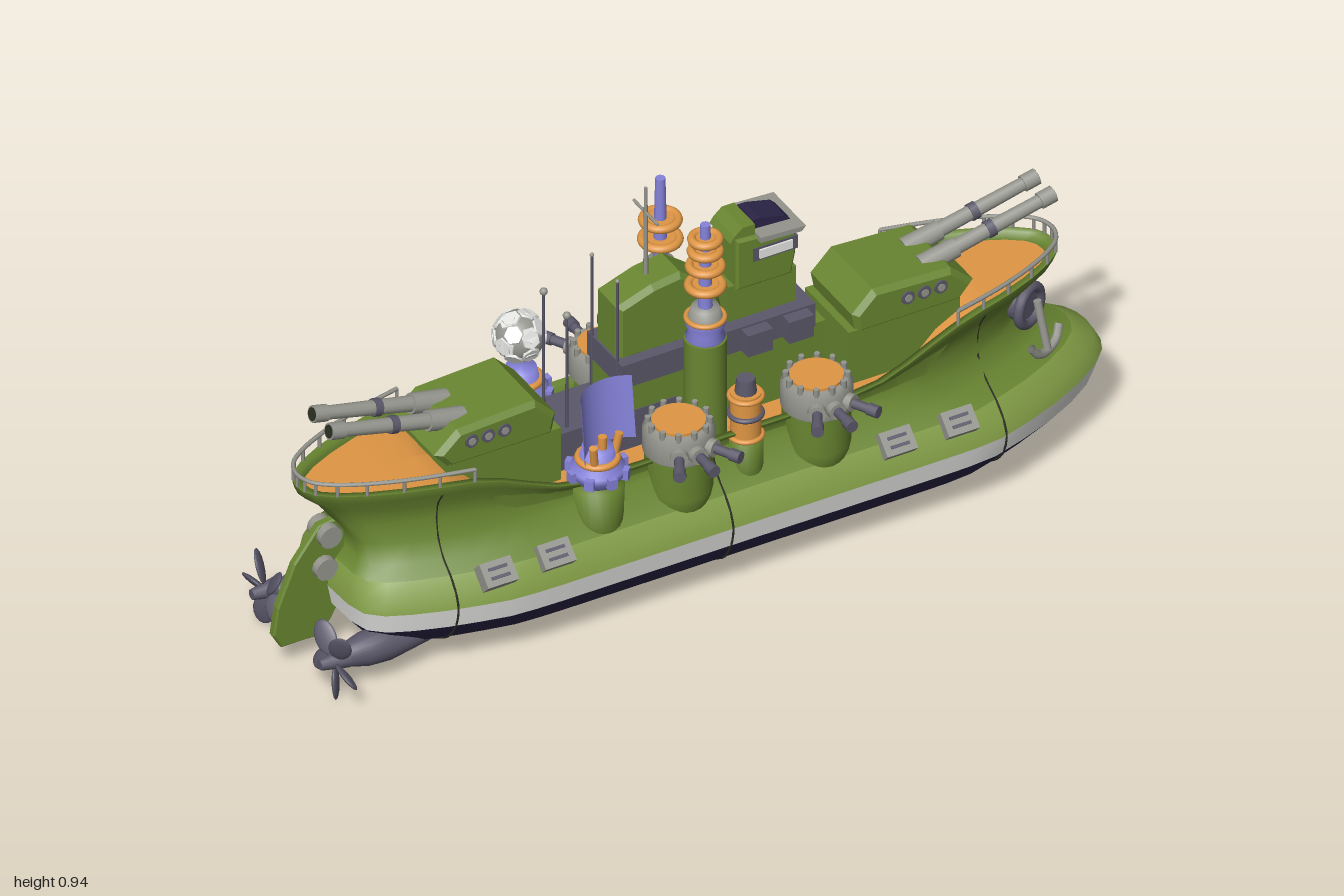
import * as THREE from 'three';

const mat = (name, color) => {
  const m = new THREE.MeshStandardMaterial({ color, side: THREE.DoubleSide });
  m.name = name;
  return m;
};
const green = mat('green paint', 0x698631), lime = mat('light green paint', 0x819c45);
const navy = mat('navy keel', 0x2c2549), white = mat('off white', 0xfafaf8);
const orange = mat('orange deck', 0xdf9644), purple = mat('violet', 0x8683da);
const steel = mat('light steel', 0x96968f), dark = mat('dark steel', 0x5b586a), black = mat('seam black', 0x2a2f22);

const V = (x, y, z) => new THREE.Vector3(x, y, z);
function add(parent, name, geo, m, x = 0, y = 0, z = 0) {
  const mesh = new THREE.Mesh(geo, m);
  mesh.name = name;
  mesh.position.set(x, y, z);
  parent.add(mesh);
  return mesh;
}
function group(parent, name, x = 0, y = 0, z = 0) {
  const g = new THREE.Group();
  g.name = name;
  g.position.set(x, y, z);
  parent.add(g);
  return g;
}
const box = (p, name, m, x0, x1, y0, y1, hz) =>
  add(p, name, new THREE.BoxGeometry(x1 - x0, y1 - y0, hz * 2), m, (x0 + x1) / 2, (y0 + y1) / 2, 0);
function rod(p, name, m, a, b, r0, r1 = r0, sides = 12) {
  const d = b.clone().sub(a);
  const mesh = add(p, name, new THREE.CylinderGeometry(r1, r0, d.length(), sides), m);
  mesh.position.copy(a).addScaledVector(d, 0.5);
  mesh.quaternion.setFromUnitVectors(V(0, 1, 0), d.normalize());
  return mesh;
}
const lathe = (p, name, m, pts, x, y, z, sides = 24) =>
  add(p, name, new THREE.LatheGeometry(pts.map(q => new THREE.Vector2(...q)), sides), m, x, y, z);
function ring(p, name, m, r, t, x, y, z) {
  const mesh = add(p, name, new THREE.TorusGeometry(r, t, 10, 28), m, x, y, z);
  mesh.rotation.x = Math.PI / 2;
  return mesh;
}
function extrude(p, name, m, pts, depth, bevel = 0) {
  const s = new THREE.Shape(pts.map(q => new THREE.Vector2(...q)));
  const g = new THREE.ExtrudeGeometry(s, { depth: depth - 2 * bevel, bevelEnabled: bevel > 0, bevelSize: bevel, bevelThickness: bevel, bevelOffset: -bevel, bevelSegments: 1 });
  return add(p, name, g.translate(0, 0, bevel - depth / 2), m);
}

// Plan outline: fraction of length -> fraction of half width, pointed and blunt
const plan = [[0, 1, 1], [0.25, 1, 1], [0.36, 1, 1], [0.43, 1, 1], [0.5, 1, 1], [0.57, 0.995, 0.995], [0.64, 0.97, 0.98], [0.72, 0.87, 0.92],
  [0.8, 0.75, 0.85], [0.88, 0.59, 0.76], [0.94, 0.43, 0.67], [0.98, 0.27, 0.55], [0.995, 0.14, 0.36], [1, 0, 0]];
// The stern is blunt low down and pointed at deck height
function widthAt(t, y) {
  const u = Math.min(Math.abs(t), 1), blunt = t < 0 ? 1 - THREE.MathUtils.smoothstep(y, 0.24, 0.44) : 0;
  const i = Math.max(1, plan.findIndex(q => q[0] >= u)), a = plan[i - 1], b = plan[i];
  const f = k => a[k] + (b[k] - a[k]) * (u - a[0]) / (b[0] - a[0]);
  return THREE.MathUtils.lerp(f(1), f(2), blunt);
}
// Upper hull dips amidships, the deck inside it with steeper steps
const sheer = (y, x) => y <= 0.32 ? y : 0.32 + (y - 0.32) * (0.36 + 0.64 * THREE.MathUtils.smoothstep(Math.abs(x), 0.33, 0.62));
const deckSheer = (y, x) => 0.335 + (y - 0.335) * THREE.MathUtils.smoothstep(Math.abs(x), 0.47, 0.62);
// Hull levels: height, half width, stern x, bow x
const levels = [[0.015, 0, -0.68, 0.65], [0.015, 0.07, -0.68, 0.65], [0.04, 0.135, -0.76, 0.78], [0.09, 0.212, -0.82, 0.91], [0.14, 0.244, -0.86, 0.98],
  [0.19, 0.254, -0.87, 1], [0.225, 0.242, -0.865, 0.98], [0.255, 0.218, -0.85, 0.93], [0.28, 0.19, -0.83, 0.85], [0.32, 0.168, -0.83, 0.79],
  [0.37, 0.157, -0.865, 0.81], [0.41, 0.16, -0.895, 0.845], [0.445, 0.176, -0.935, 0.89], [0.465, 0.178, -0.94, 0.9], [0.465, 0.162, -0.92, 0.88]];
const ts = [...plan.map(q => q[0]).reverse(), ...plan.slice(1).map(q => -q[0])];
function ringPoints([y, w, xs, xb], rise = sheer) {
  const at = (t, s) => { const x = t > 0 ? t * xb : -t * xs; return V(x, rise(y, x), s * w * widthAt(t, y)); };
  return [...ts.map(t => at(t, 1)), ...ts.slice(1, -1).reverse().map(t => at(t, -1))];
}
function loft(rows) {
  const n = rows[0].length, idx = [];
  for (let i = 0; i < rows.length - 1; i++) for (let j = 0; j < n; j++) {
    const a = i * n + j, b = i * n + (j + 1) % n;
    idx.push(a, a + n, b, b, a + n, b + n);
  }
  const g = new THREE.BufferGeometry().setFromPoints(rows.flat());
  g.setIndex(idx);
  g.computeVertexNormals();
  return g;
}
const hullPart = (p, name, m, list) => add(p, name, loft(list.map(l => ringPoints(l))), m);

function buildHull(root) {
  const hull = group(root, 'hull');
  hullPart(hull, 'keelBottom', navy, levels.slice(0, 2));
  hullPart(hull, 'keel', navy, levels.slice(1, 5));
  hullPart(hull, 'waterlineStripe', white, levels.slice(4, 6));
  hullPart(hull, 'hullBulge', lime, levels.slice(5, 8));
  hullPart(hull, 'upperHull', green, levels.slice(7, 14));
  const deckEdge = ringPoints([0.445, 0.158, -0.915, 0.875], deckSheer);
  add(hull, 'gunwale', loft([ringPoints(levels[13]), ringPoints(levels[14]), deckEdge]), green);
  add(hull, 'deck', loft([deckEdge, ringPoints([0.445, 0, -0.915, 0.875], deckSheer)]), orange);
  // Plate seams wrapping the hull
  for (const x of [-0.67, -0.02, 0.65]) for (const s of [-1, 1]) {
    const pts = levels.slice(2, 13).map(([y, w, xs, xb]) => V(x, sheer(y, x), s * w * widthAt(x / (x > 0 ? xb : -xs), y)));
    add(hull, 'plateSeam', new THREE.TubeGeometry(new THREE.CatmullRomCurve3(pts), 30, 0.0025, 5), black);
  }
  // Deck rails round both ends
  for (const e of [1, -1]) {
    const end = ringPoints([0.465, 0.174, -0.937, 0.897]).filter(p => p.x * e > 0.56);
    end.sort((a, b) => a.z - b.z);
    const top = end.map(p => V(p.x, 0.495, p.z));
    add(hull, 'railTop', new THREE.TubeGeometry(new THREE.CatmullRomCurve3(top), 60, 0.005, 6), steel);
    end.forEach((p, i) => rod(hull, 'railPost', steel, p, top[i], 0.004, 0.004, 6));
  }
  for (const s of [-1, 1]) {
    // Side lockers on the bulge
    for (const x of [-0.58, -0.44, 0.39, 0.54]) {
      const g = group(hull, 'sideLocker', x, 0.252, s * 0.226);
      g.rotation.x = s * 0.75;
      add(g, 'lockerBody', new THREE.BoxGeometry(0.075, 0.035, 0.055), steel);
      for (const k of [-1, 1]) add(g, 'lockerSlot', new THREE.BoxGeometry(0.045, 0.004, 0.007), dark, 0, 0.018, k * 0.01);
    }
    // Anchors
    const a = group(hull, 'anchor', 0.79, 0.385, s * 0.092);
    a.rotation.y = s > 0 ? 0.5 : Math.PI - 0.5;
    add(a, 'hawseRing', new THREE.TorusGeometry(0.043, 0.012, 10, 24), dark);
    const disc = add(a, 'hawsePlate', new THREE.CylinderGeometry(0.04, 0.04, 0.03, 20), dark, 0, 0, -0.015);
    disc.rotation.x = Math.PI / 2;
    rod(a, 'anchorShank', steel, V(0, 0.02, 0.02), V(0, -0.095, 0.045), 0.009);
    const arc = new THREE.CatmullRomCurve3([V(-0.055, -0.065, 0.04), V(-0.035, -0.09, 0.045), V(0, -0.1, 0.045), V(0.035, -0.09, 0.045), V(0.055, -0.065, 0.04)]);
    add(a, 'anchorFlukes', new THREE.TubeGeometry(arc, 16, 0.01, 8), steel);
    // Propellers
    lathe(hull, 'shaftPod', dark, [[0, 0], [0.025, 0.1], [0.04, 0.2], [0.038, 0.25], [0.022, 0.31], [0, 0.31]], -0.6, 0.095, s * 0.135).rotation.z = Math.PI / 2;
    const prop = group(hull, 'propeller', -0.93, 0.1, s * 0.147);
    rod(prop, 'propellerHub', dark, V(0.03, 0, 0), V(-0.035, 0, 0), 0.024, 0.012);
    for (let i = 0; i < 5; i++) {
      const arm = group(prop, 'propellerArm');
      arm.rotation.x = Math.PI - s * 0.12 + i * Math.PI * 0.4;
      const blade = add(arm, 'propellerBlade', new THREE.SphereGeometry(1, 12, 8), dark, 0, 0.053, 0);
      blade.scale.set(0.007, 0.04, 0.026);
      blade.rotation.y = s * 0.7;
    }
  }
  // Rudder with hinge knobs
  extrude(hull, 'rudder', green, [[-0.82, 0.36], [-0.89, 0.35], [-0.95, 0.27], [-0.99, 0.17], [-1, 0.1], [-0.98, 0.065], [-0.88, 0.065], [-0.83, 0.15]], 0.022, 0.004);
  for (const [x, y] of [[-0.87, 0.325], [-0.88, 0.245]]) rod(hull, 'rudderHinge', steel, V(x, y, -0.03), V(x, y, 0.03), 0.027);
}

function buildMainTurret(root, e) {
  const t = group(root, e > 0 ? 'bowTurret' : 'sternTurret', e * 0.51, 0, 0);
  if (e < 0) t.rotation.y = Math.PI;
  extrude(t, 'turretBase', green, [[-0.16, 0.33], [0.11, 0.33], [0.11, 0.47], [-0.16, 0.47]], 0.19);
  extrude(t, 'turretHousing', green, [[-0.14, 0.46], [0.11, 0.46], [0.145, 0.5], [0.09, 0.55], [-0.1, 0.56], [-0.15, 0.51]], 0.2, 0.012);
  for (const s of [-1, 1]) {
    const at = k => V(0.03 + 0.34 * k, 0.53 + 0.08 * k, s * 0.036);
    rod(t, 'gunMantlet', steel, at(0.05), at(0.3), 0.025, 0.023);
    rod(t, 'gunBarrel', steel, at(0), at(0.93), 0.019, 0.015);
    rod(t, 'gunBand', dark, at(0.52), at(0.57), 0.02);
    rod(t, 'gunMuzzle', steel, at(0.9), at(1), 0.019);
    rod(t, 'gunBore', black, at(1), at(1.004), 0.015);
    for (const x of [-0.02, 0.02, 0.06]) {
      rod(t, 'portholeRim', dark, V(x, 0.517, s * 0.09), V(x, 0.517, s * 0.104), 0.016);
      rod(t, 'portholeGlass', steel, V(x, 0.517, s * 0.1), V(x, 0.517, s * 0.106), 0.009);
    }
  }
}

function buildSideTurret(root, x, s) {
  const t = group(root, 'sideTurret', x, 0, s * 0.16);
  if (s < 0) t.rotation.y = Math.PI;
  lathe(t, 'barbette', green, [[0.05, 0.2], [0.068, 0.25], [0.074, 0.28], [0.074, 0.37]], 0, 0, 0);
  lathe(t, 'turretRing', steel, [[0.07, 0.365], [0.078, 0.375], [0.078, 0.425], [0.066, 0.44], [0, 0.44]], 0, 0, 0);
  rod(t, 'turretTop', orange, V(0, 0.438, 0), V(0, 0.446, 0), 0.058, 0.058, 24);
  for (let i = 0; i < 12; i++) {
    const a = i * Math.PI / 6;
    rod(t, 'rimTooth', steel, V(Math.sin(a) * 0.066, 0.43, Math.cos(a) * 0.066), V(Math.sin(a) * 0.066, 0.452, Math.cos(a) * 0.066), 0.007, 0.007, 6);
  }
  for (const a of [-0.5, 0, 0.5]) {
    const at = r => V(Math.sin(a) * r, 0.403, Math.cos(a) * r);
    rod(t, 'gunSocket', steel, at(0.065), at(0.092), 0.02);
    rod(t, 'gunBarrel', dark, at(0.09), at(0.15), 0.011);
    rod(t, 'gunMuzzle', dark, at(0.13), at(0.155), 0.014);
  }
}

function buildSensorBase(root, s) {
  const g = group(root, s > 0 ? 'radarPanelMount' : 'radarDomeMount', -0.3, 0, s * 0.165);
  lathe(g, 'mountBase', green, [[0.04, 0.21], [0.055, 0.26], [0.058, 0.36], [0, 0.36]], 0, 0, 0);
  lathe(g, 'mountCollar', purple, [[0.04, 0.36], [0.06, 0.385], [0.06, 0.4], [0.04, 0.42], [0.034, 0.45], [0, 0.45]], 0, 0, 0);
  ring(g, 'mountRing', orange, 0.042, 0.008, 0, 0.42, 0);
  for (let i = 0; i < 8; i++) {
    const a = i * Math.PI / 4;
    add(g, 'mountLug', new THREE.BoxGeometry(0.02, 0.025, 0.02), purple, Math.sin(a) * 0.06, 0.39, Math.cos(a) * 0.06).rotation.y = a;
  }
  if (s > 0) {
    // Curved panel, turned a little toward the bow
    const head = group(g, 'radarHead');
    head.rotation.y = 0.3;
    const panel = add(head, 'radarPanel', new THREE.CylinderGeometry(0.092, 0.092, 0.155, 24, 1, true, Math.PI - 1, 2), purple, 0, 0.532, 0.082);
    panel.rotation.x = -0.08;
    for (const k of [-1, 1]) rod(head, 'panelArm', orange, V(k * 0.03, 0.42, 0.02), V(k * 0.04, 0.475, 0.025), 0.009);
    rod(head, 'panelPost', orange, V(0, 0.43, 0.014), V(0, 0.48, 0.014), 0.01);
  } else {
    add(g, 'radarDome', new THREE.SphereGeometry(0.056, 24, 16), steel, 0, 0.525, -0.008);
    // Pale panels over the dome
    for (const [geo, r, n] of [[new THREE.IcosahedronGeometry(1), 0.02, 5], [new THREE.DodecahedronGeometry(1), 0.022, 6]]) {
      const seen = new Set(), p = geo.attributes.position;
      for (let i = 0; i < p.count; i++) {
        const d = V(0, 0, 0).fromBufferAttribute(p, i), key = d.toArray().map(v => Math.round(v * 50)).join();
        if (seen.has(key)) continue;
        seen.add(key);
        const c = V(0, 0.525, -0.008);
        rod(g, 'domePanel', white, c.clone().addScaledVector(d, 0.05), c.clone().addScaledVector(d, 0.0565), r, r * 0.93, n);
      }
    }
  }
}

function buildCoil(root, s) {
  const g = group(root, 'energyCoil', 0, 0, s * 0.097);
  rod(g, 'coilPedestal', green, V(0, 0.33, 0), V(0, 0.585, 0), 0.046, 0.046, 24);
  lathe(g, 'coilCollar', purple, [[0.034, 0.575], [0.044, 0.59], [0.036, 0.605], [0.044, 0.625], [0.04, 0.64]], 0, 0, 0);
  ring(g, 'collarRing', orange, 0.041, 0.006, 0, 0.638, 0);
  lathe(g, 'coilCap', steel, [[0.038, 0.64], [0.03, 0.665], [0, 0.667]], 0, 0, 0);
  rod(g, 'coilColumn', purple, V(0, 0.66, 0), V(0, 0.878, 0), 0.016, 0.011);
  const rings = s > 0 ? [[0.72, 0.036], [0.77, 0.034], [0.809, 0.03], [0.84, 0.029]] : [[0.72, 0.04], [0.77, 0.038]];
  for (const [y, r] of rings) {
    ring(g, 'coilRing', orange, r, 0.01, 0, y, 0);
    rod(g, 'coilDisc', orange, V(0, y - 0.004, 0), V(0, y + 0.004, 0), r);
  }
}

function buildTank(root, s) {
  const g = group(root, 'sideTank', 0.06, 0, s * 0.165);
  lathe(g, 'tankBase', green, [[0.02, 0.22], [0.038, 0.27], [0.038, 0.35], [0, 0.35]], 0, 0, 0);
  rod(g, 'tankBody', orange, V(0, 0.34, 0), V(0, 0.465, 0), 0.034, 0.034, 20);
  for (const y of [0.355, 0.41, 0.455]) ring(g, 'tankBand', y === 0.41 ? dark : orange, 0.035, 0.006, 0, y, 0);
  rod(g, 'tankCap', dark, V(0, 0.465, 0), V(0, 0.5, 0), 0.024, 0.02);
}

function buildSuperstructure(root) {
  const g = group(root, 'superstructure');
  box(g, 'aftDeckhouse', dark, -0.37, -0.05, 0.33, 0.43, 0.068);
  box(g, 'mainDeckhouse', green, -0.19, 0.31, 0.33, 0.5, 0.066);
  box(g, 'gallery', dark, -0.19, 0.28, 0.5, 0.56, 0.075);
  for (const x of [0.1, 0.2]) box(g, 'galleryWing', dark, x, x + 0.06, 0.5, 0.555, 0.105);
  extrude(g, 'aftHouse', green, [[-0.185, 0.55], [0.08, 0.55], [0.06, 0.66], [-0.03, 0.73], [-0.1, 0.72], [-0.185, 0.69]], 0.1, 0.012);
  box(g, 'towerBase', green, 0.085, 0.25, 0.555, 0.65, 0.045);
  extrude(g, 'bridgeTower', green, [[0.1, 0.64], [0.235, 0.64], [0.245, 0.69], [0.245, 0.76], [0.1, 0.77]], 0.11, 0.006);
  box(g, 'bridgeWindowFrame', dark, 0.14, 0.248, 0.704, 0.738, 0.056);
  box(g, 'bridgeWindow', white, 0.15, 0.252, 0.71, 0.732, 0.04);
  for (const s of [-1, 1]) add(g, 'bridgeSideWindow', new THREE.BoxGeometry(0.08, 0.022, 0.006), white, 0.194, 0.721, s * 0.057);
  extrude(g, 'bridgeEave', steel, [[0.15, 0.759], [0.25, 0.755], [0.26, 0.766], [0.15, 0.772]], 0.14);
  extrude(g, 'bridgeRoof', green, [[0.09, 0.762], [0.15, 0.76], [0.15, 0.793], [0.12, 0.793], [0.1, 0.776]], 0.09);
  extrude(g, 'bridgeCap', navy, [[0.15, 0.768], [0.245, 0.765], [0.23, 0.78], [0.17, 0.795], [0.15, 0.795]], 0.066);
  // Mast and aerials
  rod(g, 'mast', steel, V(-0.09, 0.7, 0), V(-0.09, 0.945, 0), 0.006, 0.004, 8);
  rod(g, 'mastYard', steel, V(-0.09, 0.88, -0.052), V(-0.09, 0.88, 0.052), 0.0035, 0.0035, 8);
  for (const [x, z, top] of [[-0.31, 0.05, 0.72], [-0.31, -0.05, 0.72], [-0.19, 0.055, 0.77], [-0.19, -0.055, 0.77]]) {
    rod(g, 'aerial', dark, V(x, 0.42, z), V(x, top, z), 0.0035, 0.003, 6);
    add(g, 'aerialTip', new THREE.SphereGeometry(x < -0.3 ? 0.009 : 0.005, 10, 8), steel, x, top, z);
  }
}

export function createModel() {
  const root = new THREE.Group();
  root.name = 'battleship';
  buildHull(root);
  buildSuperstructure(root);
  for (const s of [-1, 1]) {
    buildMainTurret(root, s);
    for (const x of [-0.1, 0.235]) buildSideTurret(root, x, s);
    buildSensorBase(root, s);
    buildCoil(root, s);
    buildTank(root, s);
  }
  return root;
}
